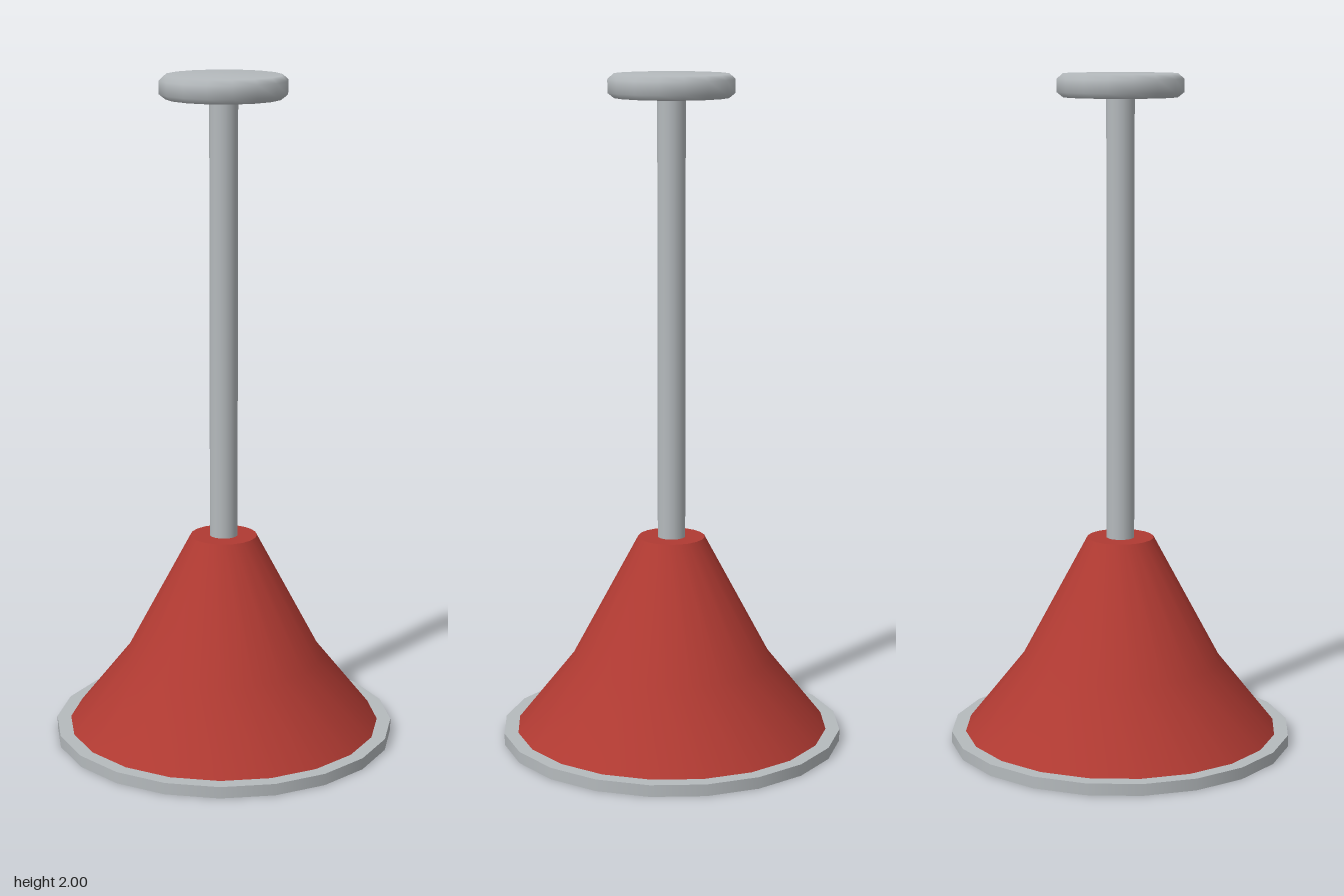
import * as THREE from 'three';
import { mergeGeometries } from 'three/addons/utils/BufferGeometryUtils.js';

const paint = (name, color) => {
  const m = new THREE.MeshStandardMaterial({ color });
  m.name = name;
  return m;
};

// Turns each profile about the y axis; edges stay sharp between profiles.
// Profiles run upwards for outer faces and downwards for inner faces.
function turned(name, material, sides, profiles) {
  const parts = profiles.map((profile) =>
    new THREE.LatheGeometry(profile.map(([r, y]) => new THREE.Vector2(r, y)), sides));
  const mesh = new THREE.Mesh(mergeGeometries(parts), material);
  mesh.name = name;
  return mesh;
}

export function createModel() {
  const red = paint('red enamel', 0xb03a32);
  const grey = paint('grey metal', 0xb5babd);
  const cream = paint('cream', 0xd0c5a4);

  const lamp = new THREE.Group();
  lamp.name = 'pendantLamp';

  lamp.add(
    // Ceiling plate with softened edges
    turned('ceilingPlate', grey, 16, [
      [[0, 1.93], [0.168, 1.93]],
      [[0.168, 1.93], [0.187, 1.945], [0.187, 1.983], [0.17, 1.998], [0, 2]],
    ]),
    // Hanging rod
    turned('rod', grey, 16, [[[0.042, 0.6], [0.042, 1.94]]]),
    // Shade: flared wall, flat top and underside of the lip
    turned('shade', red, 20, [
      [[0.475, 0.03], [0.3, 0.25], [0.1, 0.625]],
      [[0.1, 0.625], [0, 0.625]],
      [[0.455, 0], [0.505, 0]],
    ]),
    // Shade lining, facing inwards
    turned('lining', cream, 20, [
      [[0, 0.6], [0.09, 0.6]],
      [[0.09, 0.6], [0.285, 0.25], [0.455, 0]],
    ]),
    // Rim band around the mouth
    turned('rim', grey, 20, [
      [[0.505, 0], [0.513, 0]],
      [[0.513, 0], [0.513, 0.035]],
      [[0.513, 0.035], [0.47, 0.035]],
    ]),
    // Bulb inside the shade
    turned('bulb', cream, 16, [
      [[0, 0.025], [0.1, 0.025]],
      [[0.1, 0.025], [0.15, 0.14], [0.15, 0.42], [0.08, 0.6]],
    ]),
  );
  return lamp;
}
